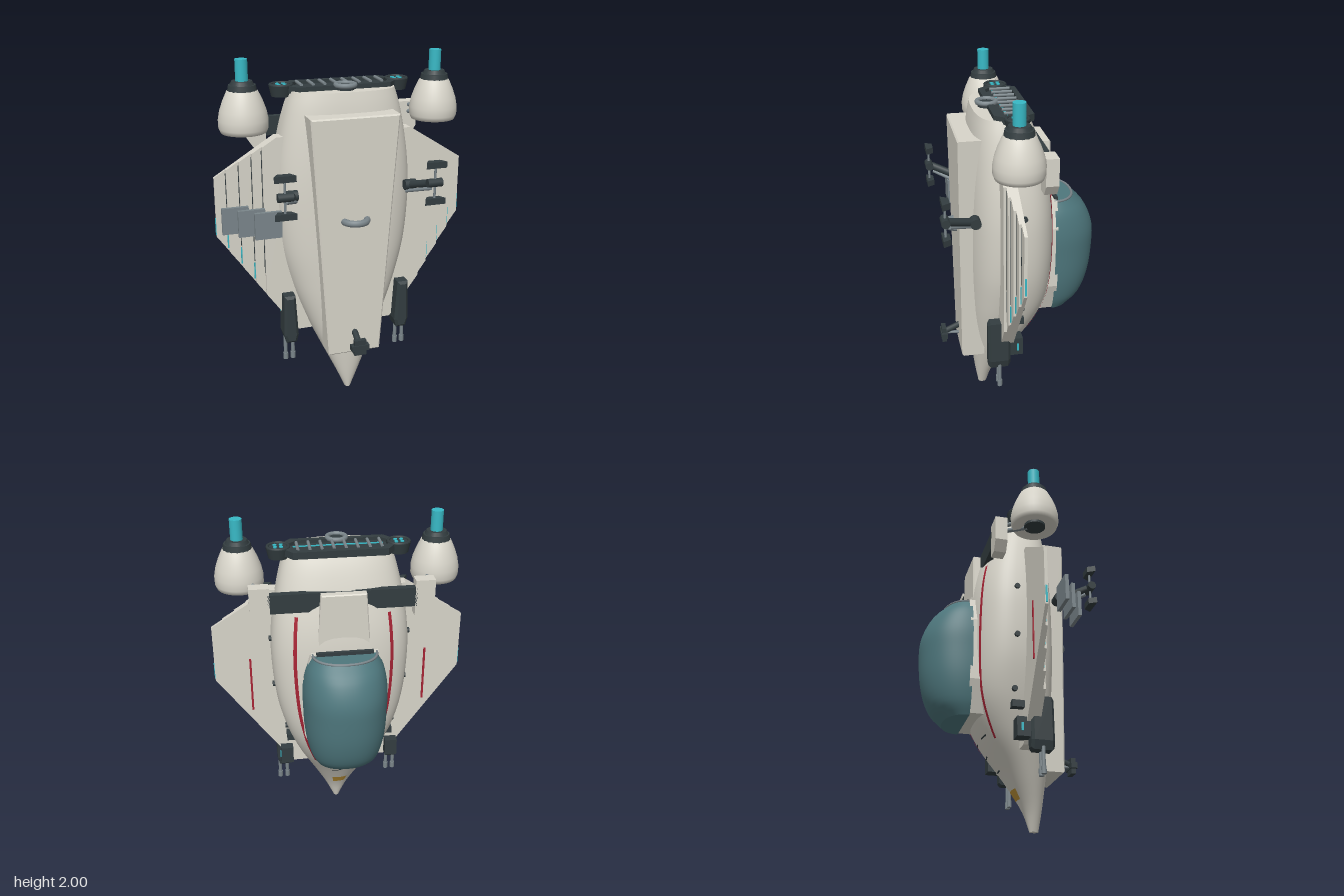
import * as THREE from 'three';
import { mergeVertices } from 'three/addons/utils/BufferGeometryUtils.js';

const mat = (name, color, extra = {}) => {
  const m = new THREE.MeshStandardMaterial({ color, ...extra });
  m.name = name;
  return m;
};

// Hermite lookup through rows [y, a, b, ...]
function sample(rows, y, k) {
  let i = 0;
  while (i < rows.length - 2 && y > rows[i + 1][0]) i++;
  const p = rows[i], q = rows[i + 1], o = rows[Math.max(i - 1, 0)], r = rows[Math.min(i + 2, rows.length - 1)];
  const h = q[0] - p[0], t = (y - p[0]) / h;
  const m0 = (q[k] - o[k]) / (q[0] - o[0]) * h, m1 = (r[k] - p[k]) / (r[0] - p[0]) * h;
  const t2 = t * t, t3 = t2 * t;
  return (2 * t3 - 3 * t2 + 1) * p[k] + (t3 - 2 * t2 + t) * m0 + (3 * t2 - 2 * t3) * q[k] + (t3 - t2) * m1;
}

// Smooth surface from a point rule f(u, v)
function grid(f, nu, nv) {
  const pos = [], idx = [], w = nu + 1;
  for (let j = 0; j <= nv; j++) for (let i = 0; i <= nu; i++) pos.push(...f(i / nu, j / nv));
  for (let j = 0; j < nv; j++) for (let i = 0; i < nu; i++) {
    const a = j * w + i;
    idx.push(a, a + w, a + 1, a + 1, a + w, a + w + 1);
  }
  const g = new THREE.BufferGeometry();
  g.setAttribute('position', new THREE.Float32BufferAttribute(pos, 3));
  g.setIndex(idx);
  const merged = mergeVertices(g, 1e-5);
  merged.computeVertexNormals();
  return merged;
}

const pw = (c, e) => Math.sign(c) * Math.abs(c) ** e;

// Hull rows: height, half width, front z, back z
const HULL = [[0, 0.018, 0.23, 0.18], [0.12, 0.07, 0.25, 0.14], [0.3, 0.155, 0.27, 0.035], [0.5, 0.245, 0.28, -0.095],
  [0.7, 0.32, 0.286, -0.175], [0.92, 0.375, 0.29, -0.2], [1.2, 0.398, 0.288, -0.2], [1.4, 0.388, 0.282, -0.182],
  [1.6, 0.355, 0.268, -0.135], [1.75, 0.318, 0.25, -0.085], [1.82, 0.292, 0.235, -0.05]];

function hullPoint(a, y, off = 0) {
  const w = sample(HULL, y, 1), zf = sample(HULL, y, 2), zb = sample(HULL, y, 3);
  const e = 2 / (2 + 0.7 * THREE.MathUtils.smoothstep(y, 0.1, 0.7));
  return [(w + off) * pw(Math.cos(a), e), y, (zf + zb) / 2 + ((zf - zb) / 2 + off) * pw(Math.sin(a), e)];
}

// Canopy rows: height, half width, depth
const CANOPY = [[0.59, 0.165, 0.125], [0.66, 0.2, 0.2], [0.8, 0.23, 0.25], [0.98, 0.24, 0.268], [1.1, 0.24, 0.262],
  [1.22, 0.218, 0.21], [1.295, 0.18, 0.135]];
const canopyPoint = (a, y, off = 0) => [(sample(CANOPY, y, 1) + off) * pw(Math.cos(a), 0.9), y,
  -0.2 + (sample(CANOPY, y, 2) + off) * pw(Math.sin(a), 0.9)];

export function createModel() {
  const ship = new THREE.Group();
  ship.name = 'spaceship';
  const white = mat('hull white', 0xd8d5ca), dark = mat('dark metal', 0x333d40), grey = mat('grey metal', 0x7b868b);
  const glass = mat('canopy teal', 0x4e777d), glow = mat('glow cyan', 0x38b9c6);
  const red = mat('stripe red', 0xa82435, { side: THREE.DoubleSide });
  const gold = mat('marking gold', 0xc4983a, { side: THREE.DoubleSide });

  const add = (name, geo, m, x = 0, y = 0, z = 0) => {
    const mesh = new THREE.Mesh(geo, m);
    mesh.name = name;
    mesh.position.set(x, y, z);
    ship.add(mesh);
    return mesh;
  };
  // Box given by its limits
  const box = (name, m, x0, x1, y0, y1, z0, z1) => add(name, new THREE.BoxGeometry(Math.abs(x1 - x0), y1 - y0, z1 - z0), m,
    (x0 + x1) / 2, (y0 + y1) / 2, (z0 + z1) / 2);
  const cyl = (name, m, r0, r1, h, x, y, z, n = 24) => add(name, new THREE.CylinderGeometry(r1, r0, h, n), m, x, y, z);
  const rod = (name, m, p, q, r, n = 10) => {
    const a = new THREE.Vector3(...p), b = new THREE.Vector3(...q), d = b.clone().sub(a);
    const c = a.clone().add(b).multiplyScalar(0.5);
    const mesh = cyl(name, m, r, r, d.length(), c.x, c.y, c.z, n);
    mesh.quaternion.setFromUnitVectors(new THREE.Vector3(0, 1, 0), d.normalize());
  };
  // Flat polygon extruded towards +z
  const plate = (name, m, pts, z, depth, bevel = 0) => add(name, new THREE.ExtrudeGeometry(
    new THREE.Shape(pts.map(p => new THREE.Vector2(...p))),
    { depth, bevelEnabled: bevel > 0, bevelSize: bevel, bevelThickness: bevel, bevelOffset: -bevel, bevelSegments: 1 }), m, 0, 0, z);
  const patch = (name, m, a0, a1, y0, y1, nu, nv, off = 0.004) => add(name,
    grid((u, v) => hullPoint(a0 + (a1 - a0) * u, y0 + (y1 - y0) * v, off), nu, nv), m);
  const T = Math.PI * 2;

  // Hull with closed ends
  patch('hull', white, 0, T, 0, 1.82, 72, 48, 0);
  const end = (y, z, f) => grid((u, v) => {
    const p = hullPoint(u * T, y), k = f(v);
    return [p[0] * k, y, z + (p[2] - z) * k];
  }, 72, 1);
  add('tailCap', end(1.82, 0.09, v => 1 - v), white);
  add('noseCap', end(0, 0.205, v => v), white);

  // Belly slab and handle
  plate('bellySlab', white, [[-0.155, 0.305], [0.155, 0.305], [0.25, 1.71], [-0.25, 1.71]], 0.21, 0.128, 0.008);
  const arc = add('bellyHandle', new THREE.TorusGeometry(0.066, 0.02, 8, 24, Math.PI), grey, 0, 1.13, 0.335);
  arc.rotation.x = Math.PI / 2;

  // Canopy with base, end caps and frame arcs
  const half = u => Math.PI * (1 + u);
  add('canopy', grid((u, v) => canopyPoint(half(u), 0.59 + 0.705 * v), 40, 28), glass);
  for (const [y, top] of [[1.295, true], [0.59, false]]) {
    add('canopyEnd', grid((u, v) => {
      const p = canopyPoint(half(u), y), k = top ? 1 - v : v;
      return [p[0] * k, y, -0.2 + (p[2] + 0.2) * k];
    }, 40, 1), glass);
  }
  const rim = Array.from({ length: 17 }, (_, i) => new THREE.Vector3(...canopyPoint(half(i / 16), 1.295)));
  add('canopyFrame', new THREE.TubeGeometry(new THREE.CatmullRomCurve3(rim), 40, 0.008, 6), grey);
  plate('canopyBase', white, [[-0.17, 0.6], [0.17, 0.6], [0.235, 0.78], [0.235, 1.15], [0.19, 1.3], [-0.19, 1.3],
    [-0.235, 1.15], [-0.235, 0.78]], -0.215, 0.1);
  box('canopyHinge', dark, -0.16, 0.16, 1.295, 1.315, -0.225, -0.205);
  box('canopySeal', red, -0.1, 0.1, 1.3, 1.308, -0.205, -0.185);

  // Rear spoiler bar and spine fin
  box('rearBar', dark, -0.41, 0.41, 1.53, 1.64, -0.14, -0.1);
  plate('spineFin', white, [[-0.15, 1.3], [0.15, 1.3], [0.125, 1.64], [-0.125, 1.64]], -0.178, 0.09, 0.006);

  // Exhaust grille
  const oct = [[-0.305, 0], [-0.26, -0.06], [0.26, -0.06], [0.305, 0], [0.305, 0.1], [0.26, 0.155], [-0.26, 0.155], [-0.305, 0.1]];
  const frame = new THREE.Shape(oct.map(p => new THREE.Vector2(...p)));
  frame.holes.push(new THREE.Path(oct.map(p => new THREE.Vector2(p[0] * 0.88, 0.045 + (p[1] - 0.045) * 0.7))));
  add('grilleFrame', new THREE.ExtrudeGeometry(frame, { depth: 0.04, bevelEnabled: false }), dark, 0, 1.845).rotation.x = Math.PI / 2;
  box('grilleBed', dark, -0.27, 0.27, 1.8, 1.826, -0.03, 0.125);
  for (let i = 0; i < 8; i++) rod('grilleBar', grey, [-0.23 + i * 0.0657, 1.845, -0.022], [-0.23 + i * 0.0657, 1.845, 0.095], 0.009, 8);
  box('grilleGlow', glow, -0.25, 0.25, 1.826, 1.83, 0.07, 0.082);
  add('tailRing', new THREE.TorusGeometry(0.052, 0.014, 8, 28), grey, 0, 1.845, 0.15).rotation.x = Math.PI / 2;
  cyl('tailRingCore', dark, 0.05, 0.05, 0.04, 0, 1.825, 0.15);

  // Gold patch and dark slots on the back of the nose
  patch('noseMark', gold, T * 0.75 - 0.45, T * 0.75 + 0.3, 0.17, 0.225, 8, 3);
  for (const [y, a] of [[0.33, 0.1], [0.42, 0.25], [0.5, -0.2], [0.5, 0.35]])
    patch('noseSlot', dark, T * 0.75 + a - 0.14, T * 0.75 + a + 0.14, y, y + 0.008, 6, 1);

  for (const s of [1, -1]) {
    // Hull stripe and side ports
    const aStripe = s > 0 ? T - 0.93 : Math.PI + 0.93;
    patch('hullStripe', red, aStripe - 0.035, aStripe + 0.035, 0.47, 1.5, 2, 30);
    for (const y of [0.705, 1.005, 1.305]) {
      const x = hullPoint(0, y)[0] * s;
      rod('sidePort', dark, [x - s * 0.04, y, 0.015], [x + s * 0.012, y, 0.015], 0.016, 12);
    }
    box('sideVent', dark, s * 0.24, s * 0.325, 0.6, 0.64, 0, 0.075);

    // Wing in stepped strips, thinner towards the tip
    const top = x => x < 0.39 ? 1.58 : 1.58 - (x - 0.39) * 0.632;
    const bottom = x => x < 0.29 ? 0.4 : 0.4 + (x - 0.29) * 1.409;
    const xs = [0.2, 0.29, 0.47, 0.525, 0.595, 0.665, 0.73];
    const depth = [0.075, 0.075, 0.06, 0.046, 0.032, 0.018];
    for (let i = 0; i < 6; i++) {
      const a = xs[i], b = xs[i + 1], pts = [[a, bottom(a)], [b, bottom(b)], [b, top(b)]];
      if (a < 0.39 && b > 0.39) pts.push([0.39, 1.58]);
      pts.push([a, top(a)]);
      plate('wingStrip', white, pts.map(p => [p[0] * s, p[1]]), 0.07, depth[i]);
      if (i > 2) box('wingLight', glow, s * (a - 0.001), s * (a + 0.007), bottom(a) + 0.02, bottom(a) + 0.12, 0.07 + depth[i], 0.075 + depth[i]);
      if (i > 1) box('wingGroove', dark, s * (a - 0.001), s * (a + 0.004), bottom(a) + 0.13, top(a) - 0.02, 0.07 + depth[i], 0.072 + depth[i]);
    }
    box('wingTipLight', glow, s * 0.728, s * 0.734, 1.03, 1.13, 0.074, 0.084);
    box('wingStripe', red, s * 0.515, s * 0.527, 0.8, 1.15, 0.064, 0.071);

    // Engine pod with nozzle
    const pod = [[0, 1.625], [0.06, 1.625], [0.085, 1.61], [0.125, 1.61], [0.135, 1.635], [0.136, 1.68], [0.126, 1.73],
      [0.108, 1.78], [0.085, 1.83], [0.07, 1.845], [0, 1.845]].map(p => new THREE.Vector2(...p));
    add('enginePod', new THREE.LatheGeometry(pod, 40), white, s * 0.552, 0, 0.078);
    cyl('engineIntake', dark, 0.06, 0.06, 0.02, s * 0.552, 1.62, 0.078);
    cyl('engineCollar', dark, 0.08, 0.074, 0.03, s * 0.552, 1.85, 0.078, 16);
    cyl('engineCollarTop', dark, 0.066, 0.056, 0.022, s * 0.552, 1.874, 0.078, 16);
    cyl('engineGlow', glow, 0.034, 0.034, 0.13, s * 0.552, 1.935, 0.078, 20);

    // Engine mount
    plate('engineMount', white, [[0.4, 1.47], [0.47, 1.47], [0.51, 1.53], [0.51, 1.68], [0.4, 1.68]].map(p => [p[0] * s, p[1]]), -0.14, 0.07);
    for (const y of [1.62, 1.66]) rod('engineStrut', grey, [s * 0.46, y, -0.08], [s * 0.53, y, 0.04], 0.013);

    // Round tail thruster
    cyl('tailThruster', dark, 0.055, 0.068, 0.06, s * 0.333, 1.815, 0.045);
    add('thrusterRim', new THREE.TorusGeometry(0.058, 0.009, 8, 28), dark, s * 0.333, 1.845, 0.045).rotation.x = Math.PI / 2;
    for (const i of [-1, 1]) for (const j of [-1, 1])
      cyl('thrusterLight', glow, 0.011, 0.011, 0.008, s * 0.333 + i * 0.017, 1.847, 0.045 + j * 0.017, 10);

    // Gun with twin barrels
    plate('gunBody', dark, [[0.312, 0.35], [0.372, 0.35], [0.386, 0.4], [0.38, 0.65], [0.315, 0.65], [0.3, 0.4]].map(p => [p[0] * s, p[1]]), 0.105, 0.1, 0.015);
    for (const x of [0.325, 0.37]) {
      rod('gunBarrel', grey, [s * x, 0.225, 0.155], [s * x, 0.37, 0.155], 0.011);
      rod('gunMuzzle', grey, [s * x, 0.22, 0.155], [s * x, 0.26, 0.155], 0.015);
    }
    box('gunSight', dark, s * 0.29, s * 0.365, 0.42, 0.53, 0.015, 0.105);
    box('gunSightLight', glow, s * 0.364, s * 0.37, 0.45, 0.495, 0.038, 0.05);

    // Main landing leg with two pads
    rod('legHinge', dark, [s * 0.31, 1.285, 0.275], [s * 0.375, 1.285, 0.275], 0.03, 16);
    rod('legStrut', dark, [s * 0.34, 1.285, 0.28], [s * 0.415, 1.335, 0.43], 0.022);
    rod('legPiston', grey, [s * 0.32, 1.25, 0.28], [s * 0.41, 1.3, 0.42], 0.01);
    rod('legAnkle', dark, [s * 0.375, 1.34, 0.445], [s * 0.46, 1.34, 0.445], 0.024, 14);
    rod('legAxle', grey, [s * 0.42, 1.235, 0.445], [s * 0.42, 1.44, 0.445], 0.007);
    for (const y of [1.235, 1.442]) {
      const foot = [[0.36, 0.462], [0.48, 0.462], [0.455, 0.42], [0.385, 0.42]].map(p => new THREE.Vector2(p[0] * s, p[1]));
      add('legPad', new THREE.ExtrudeGeometry(new THREE.Shape(foot), { depth: 0.035, bevelEnabled: false }), dark, 0, y + 0.0175).rotation.x = Math.PI / 2;
    }
  }

  // Nose landing leg
  rod('noseLeg', dark, [0, 0.45, 0.32], [0, 0.4, 0.43], 0.018);
  rod('noseLegPiston', grey, [0, 0.38, 0.32], [0, 0.39, 0.43], 0.009);
  box('nosePad', dark, -0.052, 0.052, 0.372, 0.405, 0.42, 0.458);
  box('nosePadBlock', dark, -0.035, 0.035, 0.342, 0.435, 0.425, 0.452);

  // Radiator panels stacked beside one wing
  for (let i = 0; i < 3; i++) {
    const x = -0.715 + i * 0.0775, z = 0.19 + i * 0.0625;
    box('radiatorPanel', grey, x, x + 0.148, 1.075, 1.225, z, z + 0.02);
  }
  return ship;
}
